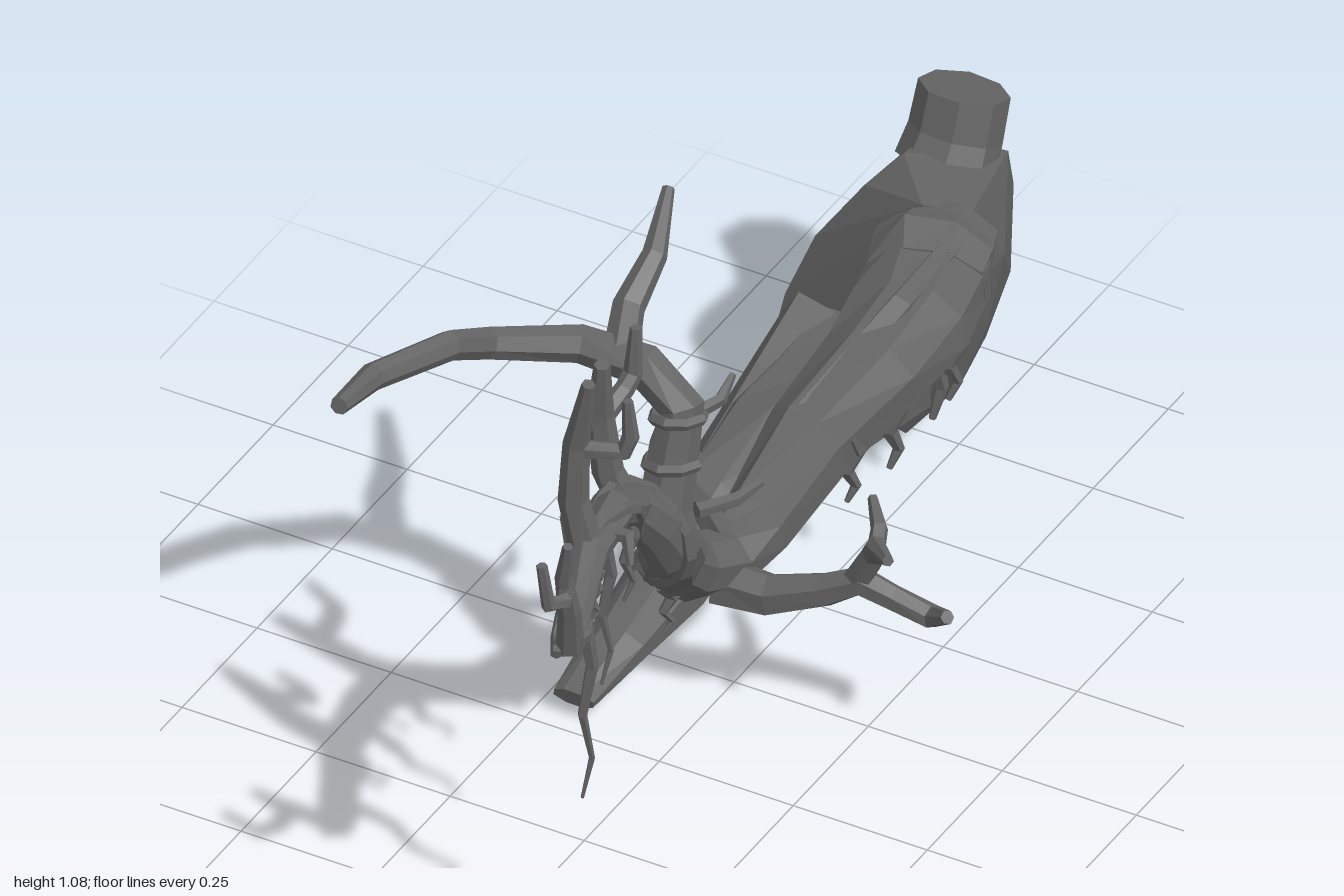
import * as THREE from 'three';
import { ConvexGeometry } from 'three/addons/geometries/ConvexGeometry.js';

export function createModel() {
  const model = new THREE.Group();
  const bark = new THREE.MeshStandardMaterial({ color: 0x646464, flatShading: true });
  bark.name = 'grey bark';

  let seed = 7;
  const rand = () => {
    seed = (seed * 16807) % 2147483647;
    return seed / 2147483647;
  };

  // Sweeps a faceted tube through points [x, y, z, radius, second radius].
  function limb(name, pts, sides = 6, rough = 0.06) {
    const c = pts.map(p => new THREE.Vector3(p[0], p[1], p[2]));
    const pos = [], idx = [], n = pts.length;
    let side = null;
    for (let i = 0; i < n; i++) {
      const t = new THREE.Vector3();
      if (i > 0) t.add(c[i].clone().sub(c[i - 1]).normalize());
      if (i < n - 1) t.add(c[i + 1].clone().sub(c[i]).normalize());
      t.normalize();
      if (!side) side = Math.abs(t.x) > 0.8 ? new THREE.Vector3(0, 0, 1) : new THREE.Vector3(1, 0, 0);
      side.addScaledVector(t, -side.dot(t)).normalize();
      const up = t.clone().cross(side);
      const a = pts[i][3], b = pts[i][4] ?? a;
      for (let j = 0; j < sides; j++) {
        const ang = ((j + 0.5) / sides) * Math.PI * 2;
        const k = 1 + (rand() - 0.4) * 2 * rough;
        const v = c[i].clone()
          .addScaledVector(side, Math.cos(ang) * a * k)
          .addScaledVector(up, Math.sin(ang) * b * k);
        pos.push(v.x, v.y, v.z);
      }
    }
    for (let i = 0; i < n - 1; i++) {
      for (let j = 0; j < sides; j++) {
        const p = i * sides + j, q = i * sides + (j + 1) % sides;
        idx.push(p, q, q + sides, p, q + sides, p + sides);
      }
    }
    // end caps
    const s = n * sides, last = (n - 1) * sides;
    pos.push(...c[0].toArray(), ...c[n - 1].toArray());
    for (let j = 0; j < sides; j++) {
      const k = (j + 1) % sides;
      idx.push(s, k, j, s + 1, last + j, last + k);
    }
    const g = new THREE.BufferGeometry();
    g.setAttribute('position', new THREE.Float32BufferAttribute(pos, 3));
    g.setIndex(idx);
    const flat = g.toNonIndexed();
    flat.computeVertexNormals();
    const mesh = new THREE.Mesh(flat, bark);
    mesh.name = name;
    model.add(mesh);
  }

  // Trunk: a faceted block, narrow behind and broad in front
  const trunkCorners = [
    [-0.2, 0.06, -0.95], [-0.07, 0.06, -0.965], [-0.24, 0.07, -0.7], [-0.06, 0.05, -0.68], [0, 0.12, -0.75],
    [-0.18, 0.2, -0.98], [-0.03, 0.2, -0.975], [-0.305, 0.14, -0.66], [-0.28, 0.26, -0.67], [-0.265, 0.15, -0.83],
    [0.025, 0.22, -0.8], [0.02, 0.2, -0.67], [-0.16, 0.37, -0.985], [-0.03, 0.37, -0.985], [-0.235, 0.38, -0.69],
    [0.045, 0.36, -0.82], [0.055, 0.36, -0.68], [-0.215, 0.4, -0.84], [-0.16, 0.49, -0.72], [0.05, 0.52, -0.7],
    [-0.155, 0.47, -0.92], [-0.015, 0.47, -0.94], [-0.02, 0.54, -0.66], [-0.12, 0.53, -0.78],
  ];
  const trunk = new THREE.Mesh(new ConvexGeometry(trunkCorners.map(p => new THREE.Vector3(...p))), bark);
  trunk.name = 'trunk';
  model.add(trunk);

  // Sawn stub on top of the trunk
  limb('stub', [
    [-0.09, 0.46, -0.865, 0.085], [-0.088, 0.51, -0.895, 0.078], [-0.085, 0.585, -0.92, 0.076],
  ], 8, 0.02);

  // Thick lower root that flares out of the trunk and lies along the ground
  limb('lowerRoot', [
    [-0.145, 0.165, -0.69, 0.145, 0.11], [-0.16, 0.16, -0.54, 0.118, 0.108],
    [-0.178, 0.155, -0.4, 0.086, 0.11], [-0.18, 0.125, -0.25, 0.076, 0.094],
    [-0.18, 0.078, -0.1, 0.068, 0.078], [-0.175, 0.07, 0.08, 0.052, 0.037],
    [-0.18, 0.045, 0.215, 0.04, 0.016],
  ], 8, 0.07);
  limb('rootRidge', [
    [-0.225, 0.235, -0.66, 0.055], [-0.22, 0.205, -0.5, 0.05], [-0.2, 0.175, -0.25, 0.04], [-0.19, 0.11, -0.06, 0.03],
  ], 5);

  // Long upper limb: arches forward, dips, then climbs to the tip
  const path = [
    [-0.0, 0.455, -0.69, 0.095, 0.083], [0.03, 0.465, -0.6, 0.102, 0.082],
    [0.066, 0.465, -0.47, 0.1, 0.078], [0.065, 0.44, -0.35, 0.09, 0.078],
    [0.03, 0.38, -0.2, 0.074, 0.08], [0.01, 0.3, -0.05, 0.06, 0.07],
    [0, 0.28, 0.04, 0.058, 0.058], [-0.01, 0.325, 0.14, 0.056],
    [0.005, 0.395, 0.22, 0.056, 0.052], [0.045, 0.46, 0.285, 0.052],
    [0.08, 0.535, 0.35, 0.048], [0.075, 0.61, 0.4, 0.045], [0.06, 0.68, 0.46, 0.04],
    [0.085, 0.735, 0.55, 0.034], [0.11, 0.745, 0.68, 0.034],
    [0.155, 0.71, 0.8, 0.025], [0.175, 0.7, 0.87, 0.024],
  ];
  limb('upperLimb', path, 8, 0.07);
  limb('limbCollar', [[0.015, 0.475, -0.64, 0.1, 0.083], [0.025, 0.477, -0.61, 0.108, 0.088], [0.045, 0.47, -0.56, 0.1, 0.08]], 8);
  limb('limbRidge', [
    [0.07, 0.52, -0.6, 0.025], [0.075, 0.52, -0.42, 0.026], [0.03, 0.435, -0.2, 0.03], [0.01, 0.335, -0.03, 0.025],
  ], 5);

  // Vines that wind around the climbing part of the limb
  const curve = new THREE.CatmullRomCurve3(path.slice(8).map(p => new THREE.Vector3(p[0], p[1], p[2])));
  for (const phase of [0.5, 3.2]) {
    const pts = [];
    for (let i = 0; i <= 18; i++) {
      const u = i / 18, p = curve.getPoint(u), r = 0.05 - 0.026 * u, a = phase + u * 10;
      pts.push([p.x + Math.cos(a) * r, p.y + Math.sin(a) * r * 0.7, p.z - Math.sin(a) * r * 0.7, 0.016 - 0.006 * u]);
    }
    limb('windingVine', pts, 5);
  }

  // Side branch that rises and reaches to the right, with its fork
  limb('rightBranch', [
    [-0.01, 0.35, 0.17, 0.045], [-0.03, 0.46, 0.18, 0.045], [-0.03, 0.56, 0.15, 0.043],
    [-0.025, 0.635, 0.13, 0.04], [-0.1, 0.685, 0.12, 0.036], [-0.21, 0.705, 0.14, 0.033],
    [-0.32, 0.735, 0.25, 0.028], [-0.335, 0.79, 0.35, 0.026], [-0.405, 0.785, 0.48, 0.024], [-0.39, 0.82, 0.62, 0.015],
  ], 7);
  limb('rightBranchFork', [
    [-0.14, 0.695, 0.13, 0.03], [-0.17, 0.735, 0.05, 0.027], [-0.165, 0.79, -0.03, 0.021], [-0.195, 0.85, -0.13, 0.01],
  ]);
  limb('braceBranch', [[0.0, 0.29, 0.02, 0.03], [-0.03, 0.38, 0.05, 0.022], [-0.04, 0.46, 0.11, 0.022], [-0.02, 0.54, 0.15, 0.02]], 5);

  // Vine rings around the rising branch
  for (const [y, z, r] of [[0.54, 0.155, 0.044], [0.62, 0.135, 0.042]]) {
    const ring = new THREE.Mesh(new THREE.TorusGeometry(r, 0.011, 5, 8), bark);
    ring.name = 'vineRing';
    ring.rotation.set(Math.PI / 2 - 0.2, 0.15, 0);
    ring.position.set(-0.028, y, z);
    model.add(ring);
  }

  // Low branch that reaches to the left, with its forks
  limb('leftBranch', [
    [0.01, 0.26, 0.07, 0.042], [0.1, 0.255, 0.06, 0.037], [0.19, 0.285, 0.04, 0.031], [0.25, 0.315, 0.025, 0.027],
    [0.3, 0.29, 0.01, 0.022], [0.37, 0.27, 0.0, 0.02], [0.42, 0.312, 0.04, 0.012],
  ]);
  limb('leftBranchFork', [
    [0.24, 0.31, 0.025, 0.025], [0.28, 0.385, 0.03, 0.022], [0.315, 0.45, 0.09, 0.018], [0.365, 0.47, 0.14, 0.01],
  ]);
  limb('leftBranchTwig', [[0.28, 0.385, 0.03, 0.016], [0.265, 0.405, -0.01, 0.015], [0.225, 0.42, -0.06, 0.009]], 5);

  // Upright shoots on the climbing limb
  const shoots = [
    [[0.1, 0.74, 0.67, 0.03], [0.08, 0.84, 0.68, 0.026], [0.083, 0.95, 0.675, 0.023], [0.112, 1.085, 0.685, 0.012]],
    [[0.085, 0.94, 0.675, 0.017], [0.155, 0.94, 0.645, 0.016], [0.165, 0.97, 0.64, 0.015], [0.16, 1.04, 0.64, 0.009]],
    [[0.06, 0.64, 0.44, 0.032], [0.025, 0.74, 0.465, 0.027], [0.012, 0.85, 0.47, 0.023], [0.025, 0.965, 0.485, 0.013]],
    [[0.013, 0.84, 0.47, 0.018], [0.025, 0.87, 0.41, 0.017], [0.03, 0.89, 0.39, 0.016], [0.03, 0.975, 0.38, 0.01]],
    [[0.175, 0.69, 0.86, 0.024], [0.185, 0.78, 0.88, 0.019], [0.185, 0.86, 0.9, 0.015], [0.2, 0.935, 0.912, 0.009]],
    [[0.185, 0.82, 0.89, 0.015], [0.215, 0.855, 0.95, 0.014], [0.205, 0.865, 0.985, 0.013], [0.195, 0.945, 0.99, 0.009]],
  ];
  shoots.forEach(p => limb('shoot', p));

  // Small side twigs
  const twigs = [
    [[-0.01, 0.62, 0.12, 0.013], [0.02, 0.635, 0.08, 0.012], [0.02, 0.66, 0.04, 0.006]],
    [[0.02, 0.46, 0.16, 0.013], [0.06, 0.46, 0.1, 0.012], [0.08, 0.47, 0.05, 0.007]],
    [[0.1, 0.74, 0.62, 0.016], [0.15, 0.75, 0.62, 0.014], [0.165, 0.71, 0.64, 0.006]],
    [[0.1, 0.75, 0.66, 0.016], [0.05, 0.77, 0.65, 0.014], [0.06, 0.72, 0.66, 0.006]],
  ];
  twigs.forEach(p => limb('twig', p, 5));

  // Rootlets hanging below: x, y top, z, y bottom, thickness
  const hanging = [
    [0.09, 0.4, -0.225, 0.26, 0.024], [0.105, 0.43, -0.34, 0.26, 0.028], [0.12, 0.45, -0.51, 0.295, 0.026],
    [0.04, 0.46, -0.6, 0.17, 0.032], [0.08, 0.44, -0.56, 0.3, 0.026], [0.0, 0.35, 0.225, 0.25, 0.016],
    [0.165, 0.71, 0.79, 0.34, 0.015], [0.1, 0.74, 0.61, 0.43, 0.014], [0.08, 0.7, 0.5, 0.52, 0.016],
    [0.12, 0.74, 0.69, 0.61, 0.014], [0.14, 0.73, 0.72, 0.64, 0.012], [0.07, 0.72, 0.55, 0.6, 0.012],
  ];
  for (const [x, y0, z, y1, r] of hanging) {
    const pts = [0, 0.3, 0.55, 0.8, 1].map((t, i) => [
      x + (i % 2 ? 0.007 : -0.003), y0 + (y1 - y0) * t, z + (i % 2 ? -0.008 : 0.006), r * (1 - 0.8 * t),
    ]);
    limb('hangingRootlet', pts, 5);
  }
  return model;
}
